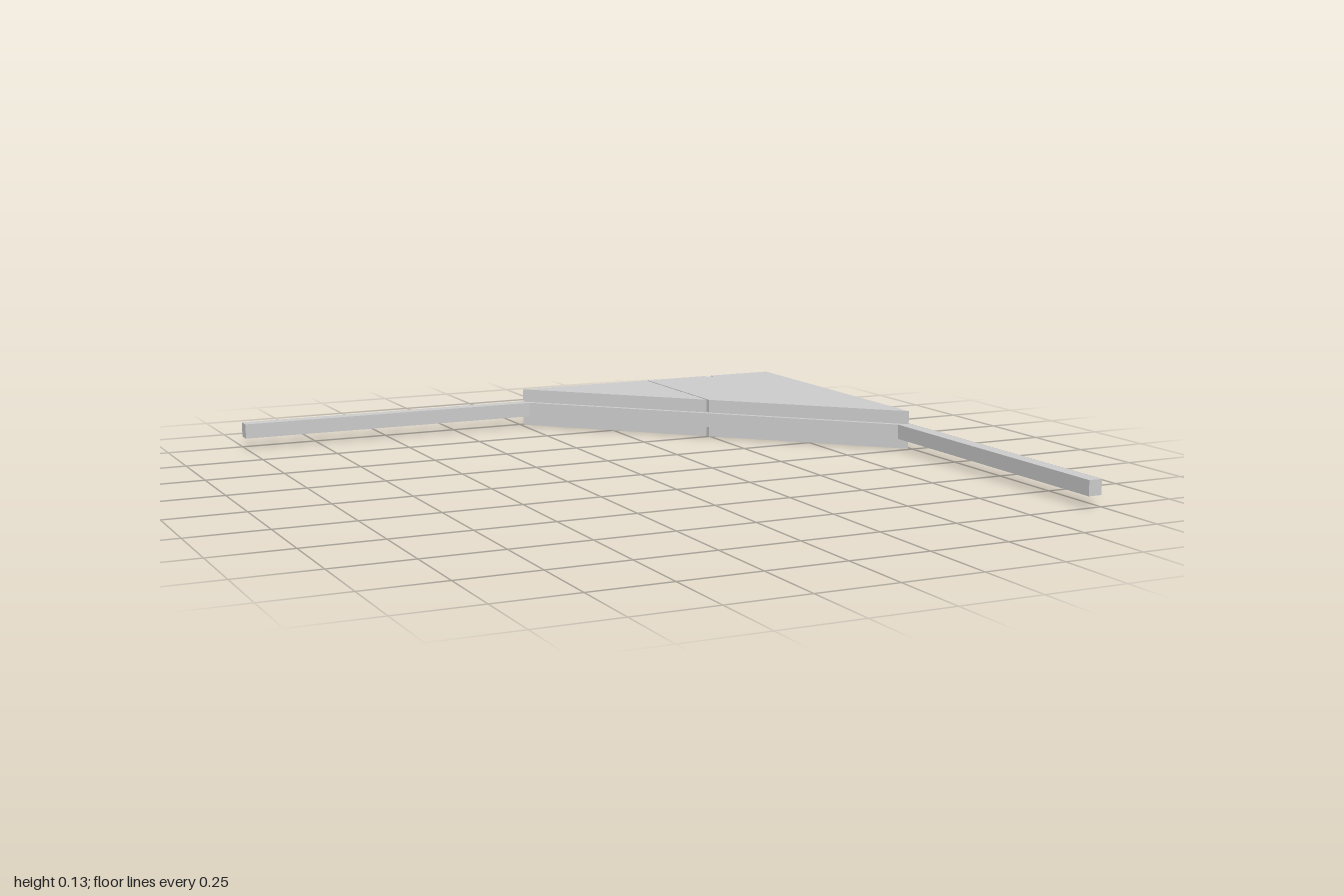
import * as THREE from 'three';

const material = new THREE.MeshStandardMaterial({ color: 0xcccccc, flatShading: true });

// Flat slab from an [x, z] outline, filling bottom..top in y
function slab(name, outline, bottom, top) {
  const shape = new THREE.Shape(outline.map(([x, z]) => new THREE.Vector2(x, z)));
  const geometry = new THREE.ExtrudeGeometry(shape, { depth: top - bottom, bevelEnabled: false });
  geometry.rotateX(Math.PI / 2);
  geometry.translate(0, top, 0);
  const mesh = new THREE.Mesh(geometry, material);
  mesh.name = name;
  return mesh;
}

export function createModel() {
  const group = new THREE.Group();
  group.name = 'cornerFrame';
  const low = 0.035, high = 0.083, inner = 0.955;

  // Two long rails meeting in a right angle
  group.add(slab('backRail', [[-1, -1], [1, -1], [1, -inner], [-1, -inner]], low, high));
  group.add(slab('sideRail', [[inner, -inner], [1, -inner], [1, 1], [inner, 1]], low, high));

  // Diagonal brace mitred against both rails
  group.add(slab('diagonalBrace',
    [[0.02, -inner], [0.084, -inner], [inner, -0.084], [inner, -0.02]], low, high));

  // Triangular gusset plates above and below, each in two pieces with a narrow seam
  const edge = 0.99, seam = 0.495, gap = 0.003;
  const hyp = (x) => x - 1.0;
  const plates = [['upper', high, 0.127], ['lower', 0, low]];
  for (const [name, bottom, top] of plates) {
    const plate = new THREE.Group();
    plate.name = name + 'Gusset';
    const a = seam - gap, b = seam + gap;
    plate.add(slab(name + 'NarrowPiece', [[0.01, -edge], [a, -edge], [a, hyp(a)]], bottom, top));
    // Wide piece with a small notch in its back edge
    plate.add(slab(name + 'WidePiece', [
      [b, -edge], [0.732, -edge], [0.732, -0.97], [0.758, -0.97], [0.758, -edge],
      [edge, -edge], [edge, hyp(edge)], [b, hyp(b)],
    ], bottom, top));
    group.add(plate);
  }
  return group;
}
